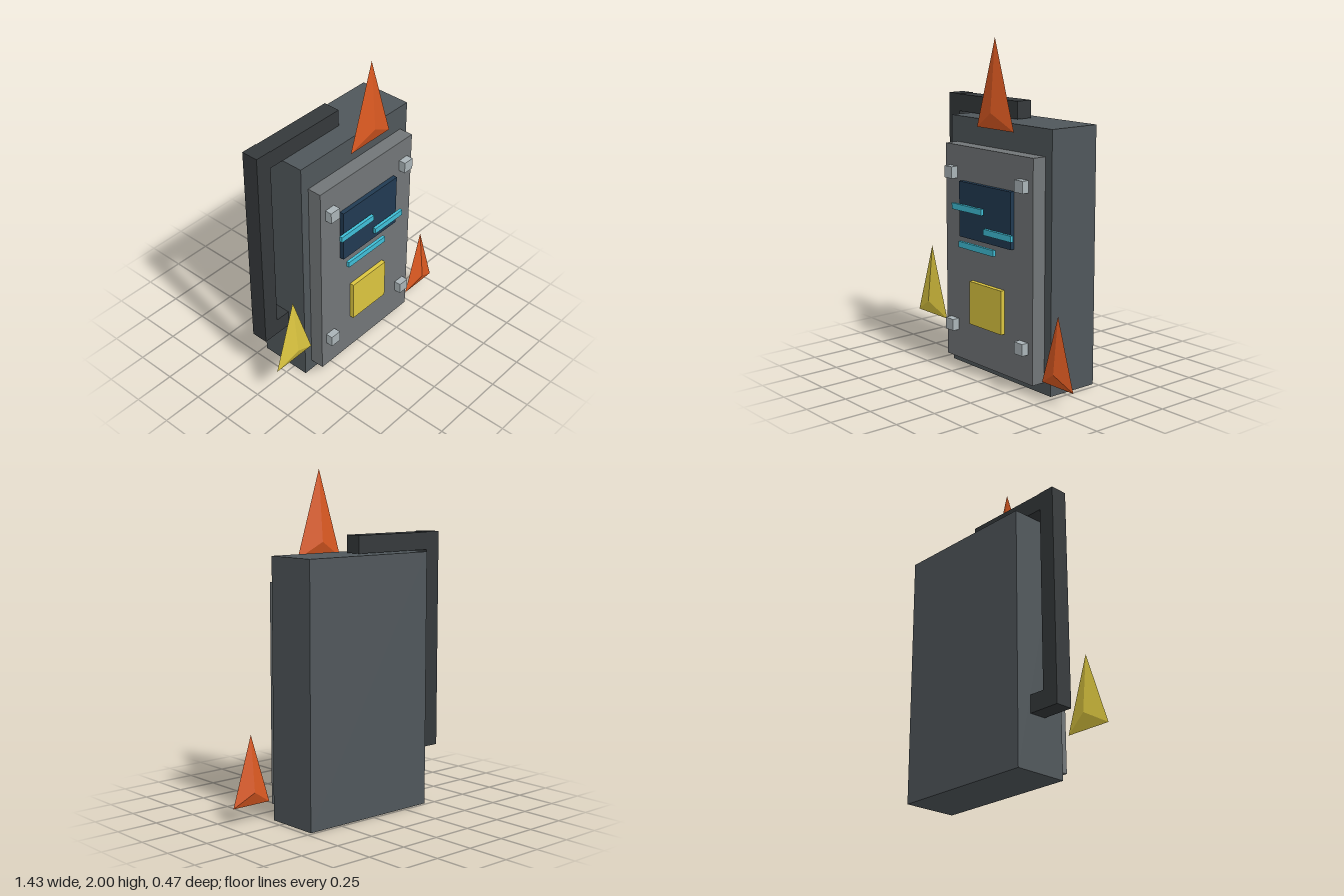
import * as THREE from 'three';

const mat = (color) => new THREE.MeshStandardMaterial({ color, flatShading: true });
const M = {
  body: mat(0x50575b), panel: mat(0x727678), pipe: mat(0x35393b), stud: mat(0xaab4b8),
  screen: mat(0x213a52), bar: mat(0x40bfd8), yellow: mat(0xdcc640), orange: mat(0xdc5a22),
};

// Box given by its limits on each axis
function box(name, material, [x0, x1], [y0, y1], [z0, z1]) {
  const mesh = new THREE.Mesh(new THREE.BoxGeometry(x1 - x0, y1 - y0, z1 - z0), material);
  mesh.position.set((x0 + x1) / 2, (y0 + y1) / 2, (z0 + z1) / 2);
  mesh.name = name;
  return mesh;
}

// Thin triangular spike with a raised ridge point on its front and back
function spike(name, material, [x, y, z], halfWidth, height, ridge, halfDepth) {
  const A = [0, height, 0], L = [-halfWidth, 0, 0], R = [halfWidth, 0, 0];
  const F = [0, ridge, halfDepth], B = [0, ridge, -halfDepth];
  const faces = [A, L, F, A, F, R, L, R, F, A, B, L, A, R, B, L, B, R];
  const geo = new THREE.BufferGeometry();
  geo.setAttribute('position', new THREE.Float32BufferAttribute(faces.flat(), 3));
  geo.computeVertexNormals();
  const mesh = new THREE.Mesh(geo, material);
  mesh.position.set(x, y, z);
  mesh.name = name;
  return mesh;
}

export function createModel() {
  const g = new THREE.Group();
  g.name = 'controlCabinet';

  // Cabinet and raised front panel
  g.add(box('cabinetBody', M.body, [-0.43, 0.465], [0, 1.52], [-0.235, 0.095]));
  g.add(box('frontPanel', M.panel, [-0.375, 0.41], [0.07, 1.365], [0.085, 0.183]));

  // Corner studs
  for (const x of [-0.3, 0.335])
    for (const y of [0.277, 1.203])
      g.add(box('cornerStud', M.stud, [x - 0.035, x + 0.035], [y - 0.035, y + 0.035], [0.16, 0.226]));

  // Screen, floating light bars and yellow plate
  g.add(box('screen', M.screen, [-0.215, 0.25], [0.83, 1.16], [0.175, 0.21]));
  for (const [x0, x1, y] of [[-0.255, 0.02, 1.01], [0.035, 0.28, 0.9], [-0.195, 0.125, 0.79]])
    g.add(box('lightBar', M.bar, [x0, x1], [y - 0.018, y + 0.018], [0.216, 0.235]));
  g.add(box('warningPlate', M.yellow, [-0.125, 0.165], [0.315, 0.575], [0.175, 0.21]));

  // Square conduit running from the top down the side
  const pz = [-0.14, -0.035];
  g.add(box('conduitTop', M.pipe, [-0.525, 0.02], [1.523, 1.627], pz));
  g.add(box('conduitSide', M.pipe, [-0.625, -0.525], [0.32, 1.63], pz));
  g.add(box('conduitElbow', M.pipe, [-0.525, -0.42], [0.32, 0.425], pz));

  // Spikes
  g.add(spike('topSpike', M.orange, [0.06, 1.485, 0.163], 0.163, 0.515, 0.095, 0.034));
  g.add(spike('leftSpike', M.orange, [0.583, 0.1, 0.15], 0.128, 0.41, 0.08, 0.034));
  g.add(spike('rightSpike', M.yellow, [-0.575, 0.265, 0.146], 0.145, 0.435, 0.087, 0.035));
  return g;
}
